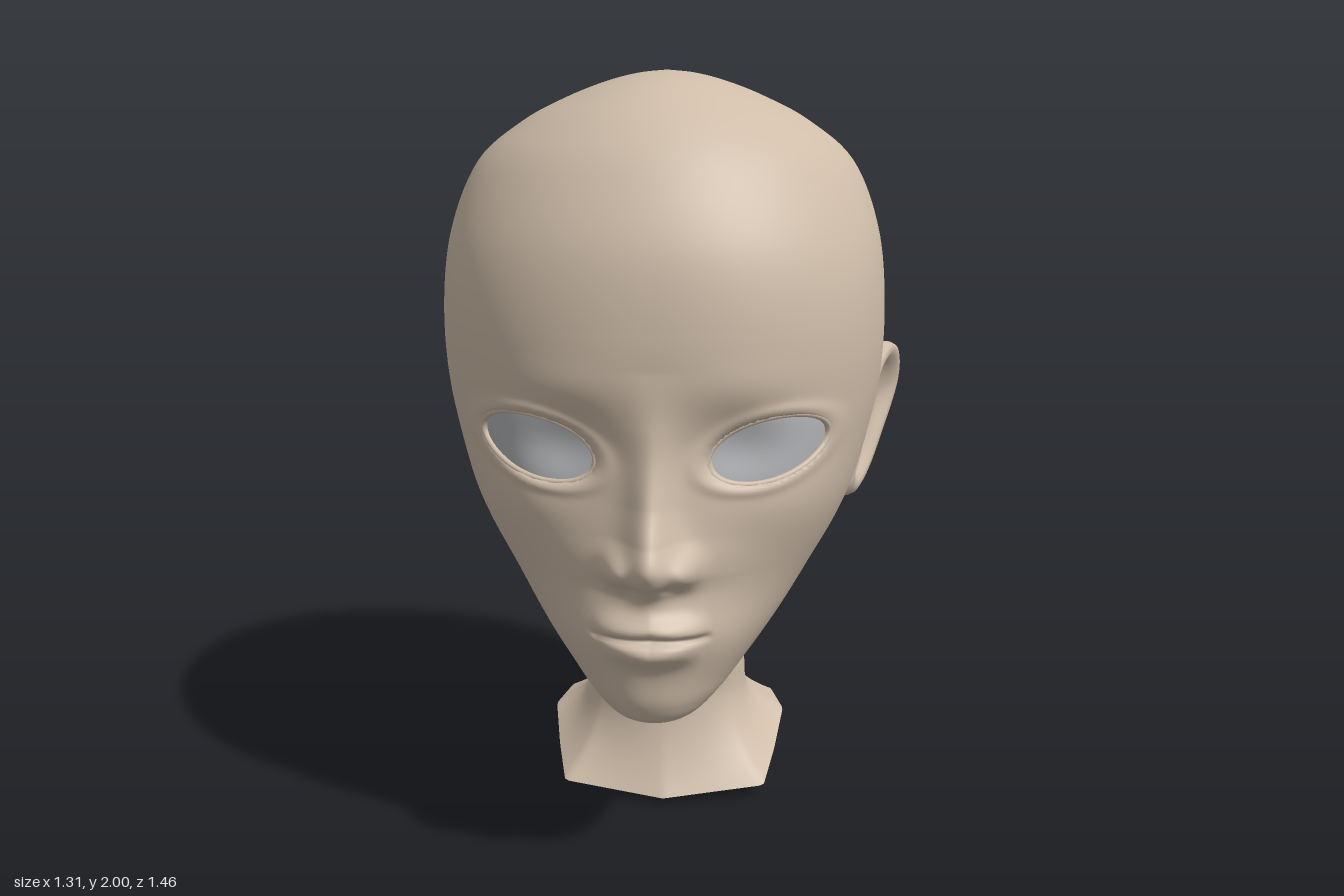
import * as THREE from 'three';

const skin = new THREE.MeshStandardMaterial({ color: 0xcfbda9, side: THREE.DoubleSide });
skin.name = 'skin';
const eyeGrey = new THREE.MeshStandardMaterial({ color: 0xb3b5b8 });
eyeGrey.name = 'eye grey';

const bell = (v, s) => Math.exp(-(v * v) / (s * s));
const lerp = THREE.MathUtils.lerp;
const smooth = THREE.MathUtils.smoothstep;

// Skull cross-sections from crown to chin: y, half width, front z, back z, z of widest point
const SKULL = [
  [2.0, 0, -0.08, -0.08, -0.08],
  [1.992, 0.075, 0.08, -0.2, -0.07],
  [1.97, 0.16, 0.205, -0.28, -0.06],
  [1.93, 0.262, 0.315, -0.37, -0.05],
  [1.87, 0.375, 0.412, -0.47, -0.04],
  [1.77, 0.49, 0.507, -0.565, -0.03],
  [1.6, 0.557, 0.595, -0.665, -0.01],
  [1.4, 0.577, 0.625, -0.722, 0],
  [1.2, 0.568, 0.615, -0.71, -0.02],
  [1.0, 0.525, 0.6, -0.6, -0.05],
  [0.87, 0.475, 0.6, -0.48, -0.05],
  [0.75, 0.405, 0.6, -0.34, -0.02],
  [0.65, 0.335, 0.6, -0.18, 0.05],
  [0.55, 0.25, 0.592, -0.02, 0.15],
  [0.48, 0.18, 0.58, 0.06, 0.27],
  [0.43, 0.108, 0.545, 0.2, 0.38],
  [0.405, 0, 0.47, 0.47, 0.47],
];

// Neck cross-sections, same layout
const NECK = [
  [0.92, 0.38, 0.05, -0.525, -0.14],
  [0.77, 0.288, 0.08, -0.4, -0.14],
  [0.63, 0.23, 0.09, -0.355, -0.14],
  [0.45, 0.217, 0.085, -0.367, -0.14],
  [0.3, 0.222, 0.045, -0.39, -0.14],
];

// Cut edge of the neck, front to back: x, y, z
const EDGE = [
  [0, 0.025, 0.13], [0.28, 0.045, 0.07], [0.31, 0.1, -0.06], [0.335, 0.165, -0.2],
  [0.3, 0.175, -0.33], [0.25, 0.14, -0.42], [0.22, 0.003, -0.48], [0, 0.015, -0.475],
];

// Nose ridge: y, height, half width
const NOSE = [
  [1.32, 0, 0.065], [1.2, 0.014, 0.058], [1.1, 0.033, 0.05], [1.0, 0.066, 0.05],
  [0.92, 0.108, 0.058], [0.87, 0.13, 0.068], [0.83, 0.11, 0.07], [0.805, 0.072, 0.062],
  [0.78, 0.04, 0.052], [0.75, 0.02, 0.052], [0.72, 0, 0.052],
];

// Smooth interpolation through a table of sections
function section(table, t) {
  const last = table.length - 1;
  const i = Math.min(Math.floor(t), last - 1), f = t - i;
  const a = table[i], b = table[i + 1];
  const p = table[i - 1] || a.map((v, k) => 2 * v - b[k]);
  const q = table[i + 2] || b.map((v, k) => 2 * v - a[k]);
  return a.map((v, k) => v + 0.5 * f * (b[k] - p[k] + f * (2 * p[k] - 5 * v + 4 * b[k] - q[k]
    + f * (3 * (v - b[k]) + q[k] - p[k]))));
}

function sectionAtY(table, y) {
  let lo = 0, hi = table.length - 1;
  for (let k = 0; k < 30; k++) {
    const mid = (lo + hi) / 2;
    if (section(table, mid)[0] > y) lo = mid; else hi = mid;
  }
  return section(table, lo);
}

// Squareness of the skull sections, front and back
const frontN = (y) => lerp(2.2, 2.0, smooth(y, 1.4, 1.8));
const backN = (y) => lerp(1.85, 2.45, smooth(y, 0.65, 1.3)) - 0.25 * smooth(y, 1.4, 1.8);

// Point on a section at an angle measured from the front
function onSection([, w, zf, zb, zc], phi, n) {
  const s = Math.sin(phi), c = Math.cos(phi);
  const r = (Math.abs(s) ** n + Math.abs(c) ** n) ** (-1 / n);
  return [w * r * s, zc + r * c * (c > 0 ? zf - zc : zc - zb)];
}

// Closed rings joined into a smooth skin; side -1 mirrors it across x
function ringSurface(rows, cols, point, side = 1) {
  const pos = [], index = [];
  for (let i = 0; i < rows; i++) for (let j = 0; j < cols; j++) {
    const [x, y, z] = point(i, j);
    pos.push(side * x, y, z);
  }
  for (let i = 0; i < rows - 1; i++) for (let j = 0; j < cols; j++) {
    const a = i * cols + j, b = i * cols + (j + 1) % cols, c = a + cols, d = b + cols;
    if (side > 0) index.push(a, c, d, a, d, b);
    else index.push(a, d, c, a, b, d);
  }
  const g = new THREE.BufferGeometry();
  g.setAttribute('position', new THREE.Float32BufferAttribute(pos, 3));
  g.setIndex(index);
  g.computeVertexNormals();
  return g;
}

// Almond eye outline at scale s
const EYE = { x: 0.277, y: 1.124, w: 0.138, h: 0.075, tilt: 0.18 };
function eyePoint(a, s) {
  const dx = EYE.w * s * Math.cos(a);
  return [EYE.x + dx, EYE.y + EYE.tilt * dx + EYE.h * s * Math.sin(a)];
}
function eyeDistance(x, y) {
  const dx = x - EYE.x;
  return Math.hypot(dx / EYE.w, (y - EYE.y - EYE.tilt * dx) / EYE.h);
}

// Face without features: hollow beside the nose bridge, full cheek below the eye
const contour = (x, y) => 0.036 * bell(x - 0.37, 0.15) * bell(y - 0.98, 0.13)
  - 0.042 * bell(x - 0.2, 0.12) * bell(y - 1.13, 0.09);
function faceZ(x, y) {
  const [, w, zf, , zc] = sectionAtY(SKULL, y);
  const n = frontN(y);
  return zc + (zf - zc) * (1 - Math.min(1, x / w) ** n) ** (1 / n) + contour(x, y);
}

// Forward relief of nose, cheeks, mouth, brow and eye sockets
function relief(px, y) {
  const x = Math.abs(px);
  let d = contour(x, y);
  if (y < 1.32 && y > 0.72) {
    const k = NOSE.findIndex((r) => r[0] <= y);
    const f = (NOSE[k - 1][0] - y) / (NOSE[k - 1][0] - NOSE[k][0]);
    const [, h, s] = section(NOSE, k - 1 + f);
    d += h * (0.8 * bell(x, s) + 0.2 * bell(x, 2.2 * s));
  }
  d += 0.04 * bell(x - 0.082, 0.032) * bell(y - 0.85, 0.04);
  d -= 0.01 * bell(x - 0.04, 0.022) * bell(y - 0.808, 0.014);
  d += 0.012 * bell(x - 0.19, 0.1) * bell(y - 0.62, 0.1);
  d += 0.03 * bell(x, 0.15) * bell(y - 0.68, 0.075);
  const lip = Math.max(0, 1 - (x / 0.145) ** 2);
  d += 0.042 * lip * bell(y - 0.71 + 0.12 * x, 0.03);
  d += 0.034 * Math.max(0, 1 - (x / 0.13) ** 2) * bell(y - 0.632 - 0.1 * x, 0.034);
  d -= 0.026 * Math.sqrt(lip) * bell(y - 0.673, 0.01);
  d += 0.006 * bell(x - 0.22, 0.14) * bell(y - 1.28, 0.06);
  const e = eyeDistance(x, y);
  d += 0.008 * bell(e - 1.22, 0.18) - 0.045 * (1 - smooth(e, 0.85, 1.05));
  return d;
}

function headGeometry() {
  const steps = [];
  for (let k = 0; k < SKULL.length - 1; k++) {
    const n = Math.max(5, Math.ceil((SKULL[k][0] - SKULL[k + 1][0]) / (SKULL[k][0] < 1.5 ? 0.007 : 0.02)));
    for (let i = 0; i < n; i++) steps.push(k + i / n);
  }
  steps.push(SKULL.length - 1);
  const sections = steps.map((t) => section(SKULL, t));
  const cols = 160;
  const g = ringSurface(steps.length, cols, (i, j) => {
    const u = (2 * j) / cols - 1;
    const phi = Math.PI * u * (0.4 + 0.6 * Math.abs(u)); // finer columns on the face
    const s = sections[i], y = s[0];
    const front = Math.cos(phi) > 0;
    const [x, z] = onSection(s, phi, front ? frontN(y) : backN(y));
    return [x, y, front ? z + relief(x, y) * smooth(Math.cos(phi), 0, 0.3) : z];
  });
  // leave the skull open where the neck enters it
  const p = g.attributes.position, faces = g.index.array, kept = [];
  const buried = (v) => {
    const y = p.getY(v);
    if (y > 0.9) return false;
    const [, w, zf, zb, zc] = sectionAtY(NECK, y), dz = p.getZ(v) - zc;
    return Math.hypot(p.getX(v) / w, dz / (dz > 0 ? zf - zc : zc - zb)) < 0.95;
  };
  for (let i = 0; i < faces.length; i += 3) {
    const tri = [faces[i], faces[i + 1], faces[i + 2]];
    if (!tri.every(buried)) kept.push(...tri);
  }
  g.setIndex(kept);
  return g;
}

function neckEdge(phi) {
  const ang = (e) => Math.abs(Math.atan2(e[0], e[2] + 0.14));
  const a = Math.abs(phi);
  let k = 1;
  while (k < EDGE.length - 1 && ang(EDGE[k]) < a) k++;
  const p = EDGE[k - 1], q = EDGE[k];
  const f = (a - ang(p)) / (ang(q) - ang(p));
  return [Math.sign(phi) * lerp(p[0], q[0], f), lerp(p[1], q[1], f), lerp(p[2], q[2], f)];
}

function neckGeometry() {
  const cols = 120, upper = 24, flare = 12;
  return ringSurface(upper + flare + 1, cols, (i, j) => {
    const phi = ((2 * j) / cols - 1) * Math.PI;
    const s = section(NECK, (4 * Math.min(i, upper)) / upper);
    const [x, z] = onSection(s, phi, 2);
    if (i <= upper) return [x, s[0], z];
    const k = (i - upper) / flare, e = neckEdge(phi);
    return [lerp(x, e[0], k ** 2), lerp(s[0], e[1], k), lerp(z, e[2], k ** 2)];
  });
}

// Ear outline (z, y) and its layers from bowl to root: scale, outward offset
const EAR = new THREE.CatmullRomCurve3([
  [-0.35, 1.13], [-0.31, 1.22], [-0.2, 1.262], [-0.12, 1.22], [-0.09, 1.1],
  [-0.07, 0.95], [-0.06, 0.875], [-0.13, 0.84], [-0.21, 0.88], [-0.28, 0.98],
].map(([z, y]) => new THREE.Vector3(0, y, z)), true);
const EAR_LAYERS = [
  [0, -0.022], [0.3, -0.026], [0.5, -0.028], [0.63, -0.022], [0.73, -0.005], [0.81, 0.008],
  [0.89, 0.012], [0.96, 0.006], [1, -0.01], [1, -0.035], [0.94, -0.065], [0.8, -0.11], [0.66, -0.16],
];

function earGeometry(side) {
  const cols = 48;
  return ringSurface(EAR_LAYERS.length, cols, (i, j) => {
    const [s, dx] = EAR_LAYERS[i];
    const p = EAR.getPoint(j / cols);
    const y = lerp(1.06, p.y, s), z = lerp(-0.19, p.z, s);
    return [0.535 + 0.36 * (-0.08 - z) + 0.17 * (y - 1.05) + dx, y, z];
  }, side);
}

function eyeGeometry(side) {
  const rows = 12, cols = 48;
  return ringSurface(rows, cols, (i, j) => {
    const s = i / (rows - 1);
    const [x, y] = eyePoint((2 * Math.PI * j) / cols, s);
    return [x, y, faceZ(x, y) - 0.012 + 0.008 * (1 - s * s)];
  }, side);
}

function eyelidGeometry(side) {
  const pts = [];
  for (let k = 0; k < 32; k++) {
    const [x, y] = eyePoint((k / 32) * 2 * Math.PI, 1.05);
    pts.push(new THREE.Vector3(side * x, y, faceZ(x, y) - 0.006));
  }
  return new THREE.TubeGeometry(new THREE.CatmullRomCurve3(pts, true), 72, 0.008, 8, true);
}

export function createModel() {
  const model = new THREE.Group();
  model.name = 'mannequinHead';
  const add = (name, geometry, material) => {
    const mesh = new THREE.Mesh(geometry, material);
    mesh.name = name;
    model.add(mesh);
  };
  add('head', headGeometry(), skin);
  add('neck', neckGeometry(), skin);
  for (const [label, side] of [['left', 1], ['right', -1]]) {
    add(label + 'Ear', earGeometry(side), skin);
    add(label + 'Eye', eyeGeometry(side), eyeGrey);
    add(label + 'Eyelids', eyelidGeometry(side), skin);
  }
  return model;
}
